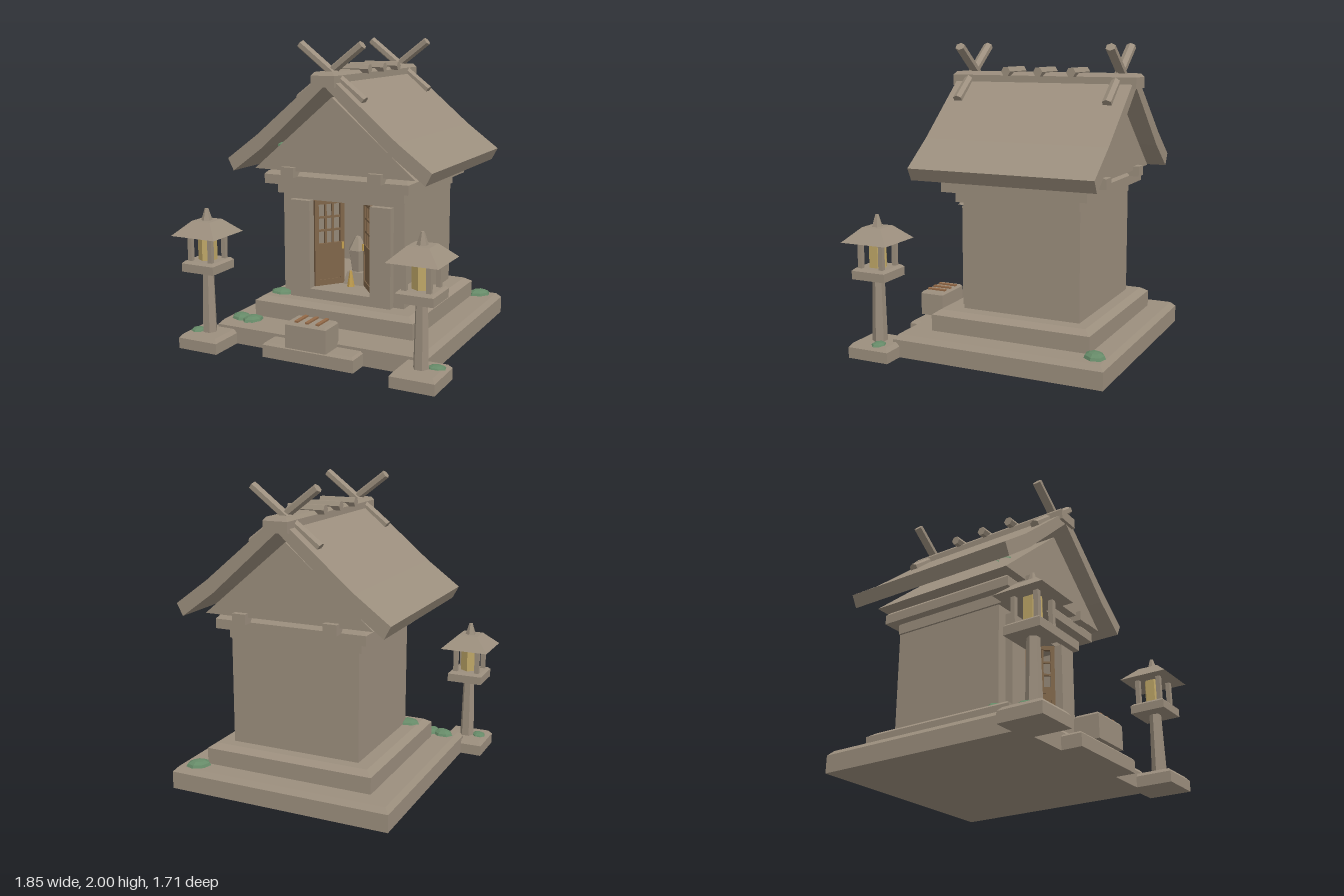
import * as THREE from 'three';

const mat = (name, color, opts = {}) => {
  const m = new THREE.MeshStandardMaterial({ color, flatShading: true, ...opts });
  m.name = name;
  return m;
};

export function createModel() {
  const stone = mat('weathered stone', 0x9c8f7e);
  const wood = mat('door wood', 0x80664a);
  const slatWood = mat('slat wood', 0x946a48);
  const glow = mat('lantern glow', 0xc0a868);
  const gold = mat('gold', 0xc4a050);
  const moss = mat('moss', 0x668a68);

  const model = new THREE.Group();
  model.name = 'woodenShrine';

  const add = (parent, name, geo, material, x = 0, y = 0, z = 0) => {
    const m = new THREE.Mesh(geo, material);
    m.name = name;
    m.position.set(x, y, z);
    parent.add(m);
    return m;
  };
  // box given by its minimum and maximum corners
  const box = (parent, name, material, x0, x1, y0, y1, z0, z1) =>
    add(parent, name, new THREE.BoxGeometry(x1 - x0, y1 - y0, z1 - z0), material,
      (x0 + x1) / 2, (y0 + y1) / 2, (z0 + z1) / 2);
  // four-sided frustum standing on y = 0
  const frustum = (w, d, h, topW, topD) => {
    const g = new THREE.BoxGeometry(w, h, d).translate(0, h / 2, 0);
    const p = g.attributes.position;
    for (let i = 0; i < p.count; i++) {
      if (p.getY(i) > h / 2) p.setXYZ(i, p.getX(i) * topW / w, h, p.getZ(i) * topD / d);
    }
    g.computeVertexNormals();
    return g;
  };
  // slab with a chamfered top edge
  const slab = (parent, name, x0, x1, y0, y1, z0, z1, inset, drop) => {
    const g = new THREE.Group();
    g.name = name;
    parent.add(g);
    box(g, name + 'Sides', stone, x0, x1, y0, y1 - drop, z0, z1);
    const w = x1 - x0, d = z1 - z0;
    add(g, name + 'Bevel', frustum(w, d, drop, w - 2 * inset, d - 2 * inset), stone,
      (x0 + x1) / 2, y1 - drop, (z0 + z1) / 2);
    return g;
  };
  const extrude = (shape, z0, z1) =>
    new THREE.ExtrudeGeometry(shape, { depth: z1 - z0, bevelEnabled: false }).translate(0, 0, z0);
  const polygon = pts => new THREE.Shape(pts.map(p => new THREE.Vector2(...p)));

  // stepped platform
  slab(model, 'lowerPlatform', -0.757, 0.757, 0, 0.147, -0.854, 0.588, 0.03, 0.032);
  slab(model, 'upperPlatform', -0.58, 0.58, 0.14, 0.285, -0.7, 0.4, 0.045, 0.03);
  slab(model, 'frontStep', -0.325, 0.325, 0, 0.097, 0.5, 0.725, 0.015, 0.015);

  // hollow hall with a doorway
  const hall = new THREE.Group();
  hall.name = 'hall';
  model.add(hall);
  const doorway = () => new THREE.Path([[-0.222, 0.35], [-0.222, 0.949], [0.222, 0.949], [0.222, 0.35]]
    .map(p => new THREE.Vector2(...p)));
  const wall = polygon([[-0.445, 0.28], [0.445, 0.28], [0.445, 1.0], [-0.445, 1.0]]);
  wall.holes.push(doorway());
  add(hall, 'frontWall', extrude(wall, 0.19, 0.23), stone);
  box(hall, 'backWall', stone, -0.445, 0.445, 0.28, 1.0, -0.58, -0.54);
  for (const s of [-1, 1]) box(hall, 'sideWall', stone, s * 0.425 - 0.02, s * 0.425 + 0.02, 0.28, 1.0, -0.54, 0.19);
  box(hall, 'floor', stone, -0.405, 0.405, 0.28, 0.35, -0.54, 0.19);
  const frame = polygon([[-0.37, 0.285], [0.37, 0.285], [0.37, 0.95], [0.222, 0.95], [0.222, 0.35],
    [-0.222, 0.35], [-0.222, 0.95], [-0.37, 0.95]]);
  add(hall, 'doorSurround', extrude(frame, 0.23, 0.28), stone);
  box(hall, 'wallBeam', stone, -0.46, 0.46, 0.99, 1.06, -0.58, 0.28);
  slab(hall, 'cornice', -0.52, 0.52, 1.06, 1.145, -0.65, 0.35, 0.02, 0.022);
  for (const s of [-1, 1]) box(hall, 'purlin', stone, s * 0.313 - 0.046, s * 0.313 + 0.046, 1.12, 1.187, -0.715, 0.41);

  // door leaf, hinge at the local origin, lattice in its upper half
  const doorLeaf = side => {
    const d = new THREE.Group();
    d.name = side < 0 ? 'rightDoor' : 'leftDoor';
    const part = (name, x0, x1, y0, y1, t = 0.012) => box(d, name, wood, x0, x1, y0, y1, -t, t);
    part('hingeStile', 0, 0.028, 0.355, 0.945);
    part('freeStile', 0.187, 0.215, 0.355, 0.945);
    part('topRail', 0.028, 0.187, 0.915, 0.945);
    part('middleRail', 0.028, 0.187, 0.6, 0.645);
    part('bottomRail', 0.028, 0.187, 0.355, 0.395);
    part('lowerPanel', 0.028, 0.187, 0.395, 0.6, 0.006);
    for (const x of [0.081, 0.134]) part('upright', x - 0.007, x + 0.007, 0.645, 0.915, 0.007);
    for (const y of [0.735, 0.825]) part('crossbar', 0.028, 0.187, y - 0.007, y + 0.007, 0.007);
    box(d, 'handle', gold, 0.193, 0.209, 0.6, 0.645, -0.022, 0.022);
    d.position.set(side * 0.215, 0, 0.225);
    d.rotation.y = -side * 0.9;
    d.scale.x = -side;
    hall.add(d);
  };
  doorLeaf(-1);
  doorLeaf(1);

  // sacred stone on its plinth, with a small bell in front
  add(hall, 'altarPlinth', frustum(0.15, 0.15, 0.085, 0.11, 0.11), stone, 0, 0.35, 0);
  add(hall, 'altarStone', new THREE.CylinderGeometry(0.07, 0.045, 0.15, 6), stone, 0, 0.51, 0).rotation.y = Math.PI / 6;
  add(hall, 'altarStoneTop', new THREE.CylinderGeometry(0.018, 0.07, 0.09, 6), stone, 0, 0.63, 0).rotation.y = Math.PI / 6;
  add(hall, 'bell', new THREE.CylinderGeometry(0.008, 0.026, 0.11, 6), gold, 0, 0.405, 0.11);

  // gable block and slightly curved roof
  add(model, 'gable', extrude(polygon([[-0.577, 1.16], [0.577, 1.16], [0, 1.65]]), -0.675, 0.375), stone);
  const half = [[0.683, 1.15], [0.725, 1.23], [0.497, 1.398], [0.085, 1.745]];
  const under = [0.455, 1.318];
  const roofShape = polygon([[0, 1.725], under, ...half, [0, 1.8],
    ...half.slice().reverse().map(([x, y]) => [-x, y]), [-under[0], under[1]]]);
  add(model, 'roof', extrude(roofShape, -0.775, 0.472), stone);
  slab(model, 'ridgeBeam', -0.082, 0.082, 1.72, 1.813, -0.8, 0.495, 0.018, 0.022);

  // ridge billets
  for (const z of [0.08, -0.15, -0.38]) {
    const g = new THREE.CylinderGeometry(0.033, 0.033, 0.254, 6).rotateZ(Math.PI / 2);
    add(model, 'ridgeBillet', g, stone, 0, 1.818, z);
  }
  // crossed finial beams at both ends of the ridge
  for (const z of [0.375, -0.67]) {
    for (const s of [-1, 1]) {
      const g = new THREE.CylinderGeometry(0.027, 0.027, 0.565, 6).rotateY(Math.PI / 6).scale(1.08, 1, 1.25);
      const beam = add(model, 'crossedBeam', g, stone, s * 0.01, 1.808, z + s * 0.006);
      beam.rotation.z = s * Math.atan2(0.45, 0.345);
    }
  }

  // offering box with a slatted top
  const offering = new THREE.Group();
  offering.name = 'offeringBox';
  model.add(offering);
  slab(offering, 'box', -0.145, 0.145, 0.097, 0.265, 0.572, 0.742, 0.012, 0.015);
  for (const x of [-0.075, 0, 0.075]) box(offering, 'slat', slatWood, x - 0.012, x + 0.012, 0.255, 0.276, 0.585, 0.722);

  // stone lanterns
  for (const s of [-1, 1]) {
    const l = new THREE.Group();
    l.name = s < 0 ? 'rightLantern' : 'leftLantern';
    l.position.set(s * 0.757, 0, 0.685);
    model.add(l);
    slab(l, 'base', -0.146, 0.146, 0, 0.097, -0.146, 0.146, 0.022, 0.025);
    add(l, 'post', new THREE.CylinderGeometry(0.039, 0.05, 0.425, 6), stone, 0, 0.308, 0).rotation.y = Math.PI / 6;
    slab(l, 'tray', -0.121, 0.121, 0.518, 0.588, -0.121, 0.121, 0.015, 0.015);
    add(l, 'light', new THREE.CylinderGeometry(0.062, 0.062, 0.18, 6), glow, 0, 0.675, 0);
    for (const x of [-0.077, 0.077]) {
      for (const z of [-0.077, 0.077]) box(l, 'cornerPost', stone, x - 0.015, x + 0.015, 0.58, 0.77, z - 0.015, z + 0.015);
    }
    add(l, 'cap', frustum(0.332, 0.332, 0.09, 0.14, 0.14), stone, 0, 0.76, 0);
    add(l, 'finial', new THREE.CylinderGeometry(0.012, 0.037, 0.08, 6), stone, 0, 0.888, 0);
  }

  // low moss cushions: x, y, z, radius, height
  const cushions = [
    [-0.46, 0.283, 0.24, 0.085, 0.03], [-0.545, 0.145, 0.49, 0.08, 0.035], [-0.64, 0.145, 0.48, 0.08, 0.035],
    [0.62, 0.145, -0.75, 0.085, 0.04], [-0.84, 0.095, 0.7, 0.06, 0.02], [0.84, 0.095, 0.64, 0.06, 0.02],
    [-0.42, 1.307, 0.26, 0.05, 0.025], [-0.325, 1.388, 0.1, 0.045, 0.02],
    [0.275, 1.43, 0.15, 0.045, 0.02], [0.39, 1.335, 0.28, 0.05, 0.025],
  ];
  cushions.forEach(([x, y, z, r, h], i) => {
    const g = new THREE.SphereGeometry(1, 7, 3, 0, Math.PI * 2, 0, Math.PI / 2).scale(r, h, r * 0.8);
    add(model, 'mossCushion', g, moss, x, y, z).rotation.y = i * 1.3;
  });

  return model;
}
